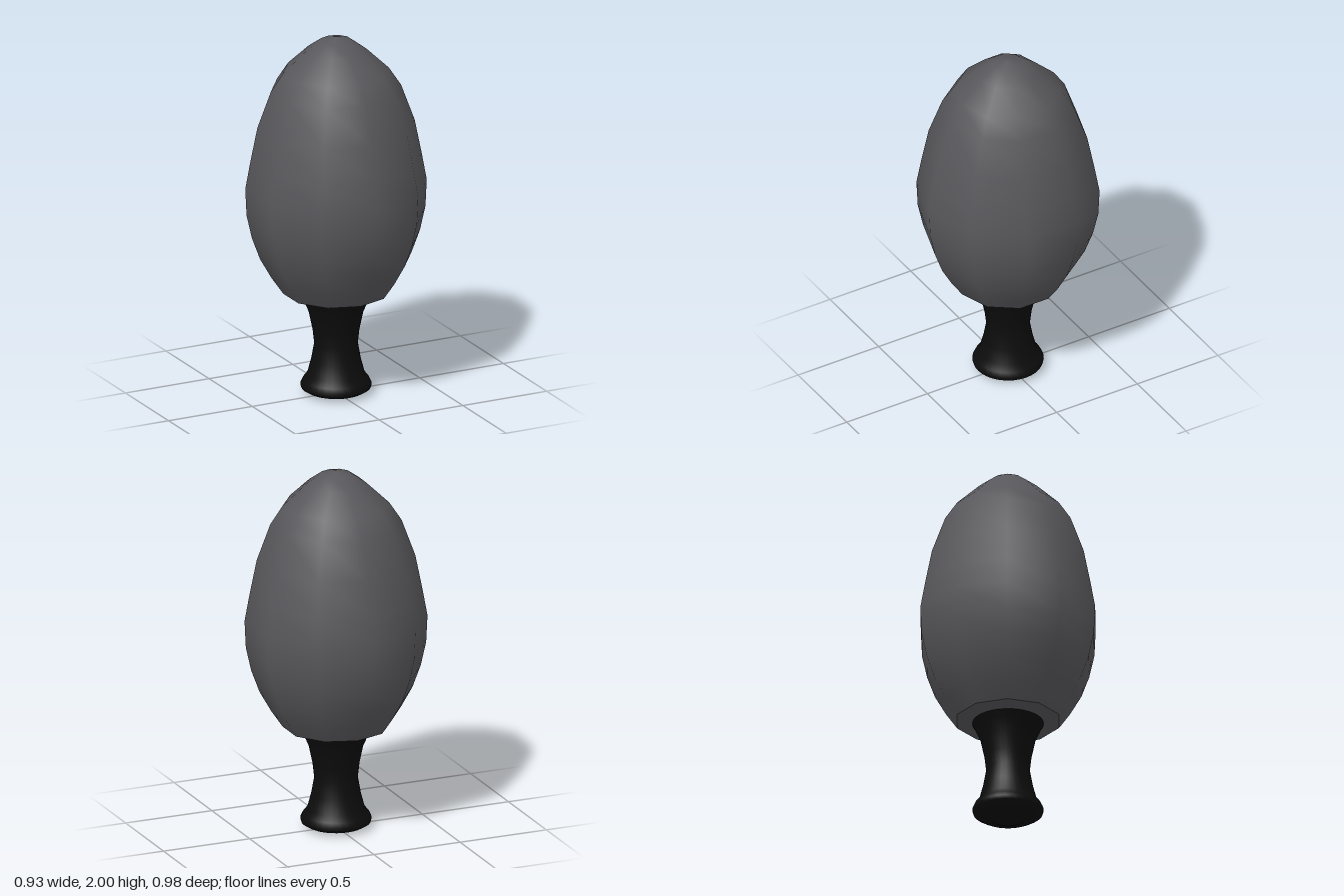
import * as THREE from 'three';

const shellMaterial = new THREE.MeshStandardMaterial({ color: 0x58585c });
shellMaterial.name = 'charcoal grey';
const stemMaterial = new THREE.MeshStandardMaterial({ color: 0x0c0c0c });
stemMaterial.name = 'black';

// Turned part from [radius, height] pairs, listed bottom to top
function turned(name, profile, sides, material) {
  const points = profile.map(([r, y]) => new THREE.Vector2(r, y));
  const mesh = new THREE.Mesh(new THREE.LatheGeometry(points, sides), material);
  mesh.name = name;
  return mesh;
}

export function createModel() {
  const group = new THREE.Group();
  group.name = 'eggOnStem';

  // Ten-sided egg, with a corner facing the front
  group.add(turned('eggBody', [
    [0.284, 0.57], [0.346, 0.66], [0.408, 0.77], [0.452, 0.89], [0.481, 1.02], [0.488, 1.17],
    [0.461, 1.32], [0.423, 1.51], [0.35, 1.71], [0.284, 1.81], [0.162, 1.925], [0.085, 1.98], [0, 2],
  ], 10, shellMaterial));

  // Nearly flat underside of the egg
  group.add(turned('eggUnderside', [[0, 0.555], [0.2, 0.558], [0.284, 0.57]], 10, shellMaterial));

  // Waisted stem with a rounded foot
  group.add(turned('stem', [
    [0.1, 0.004], [0.155, 0.015], [0.185, 0.033], [0.19, 0.052], [0.178, 0.078], [0.153, 0.11],
    [0.132, 0.19], [0.116, 0.28], [0.125, 0.36], [0.146, 0.46], [0.172, 0.52], [0.19, 0.556],
  ], 32, stemMaterial));

  // Flat sole under the foot
  group.add(turned('sole', [[0, 0], [0.095, 0], [0.1, 0.004]], 32, stemMaterial));

  return group;
}
